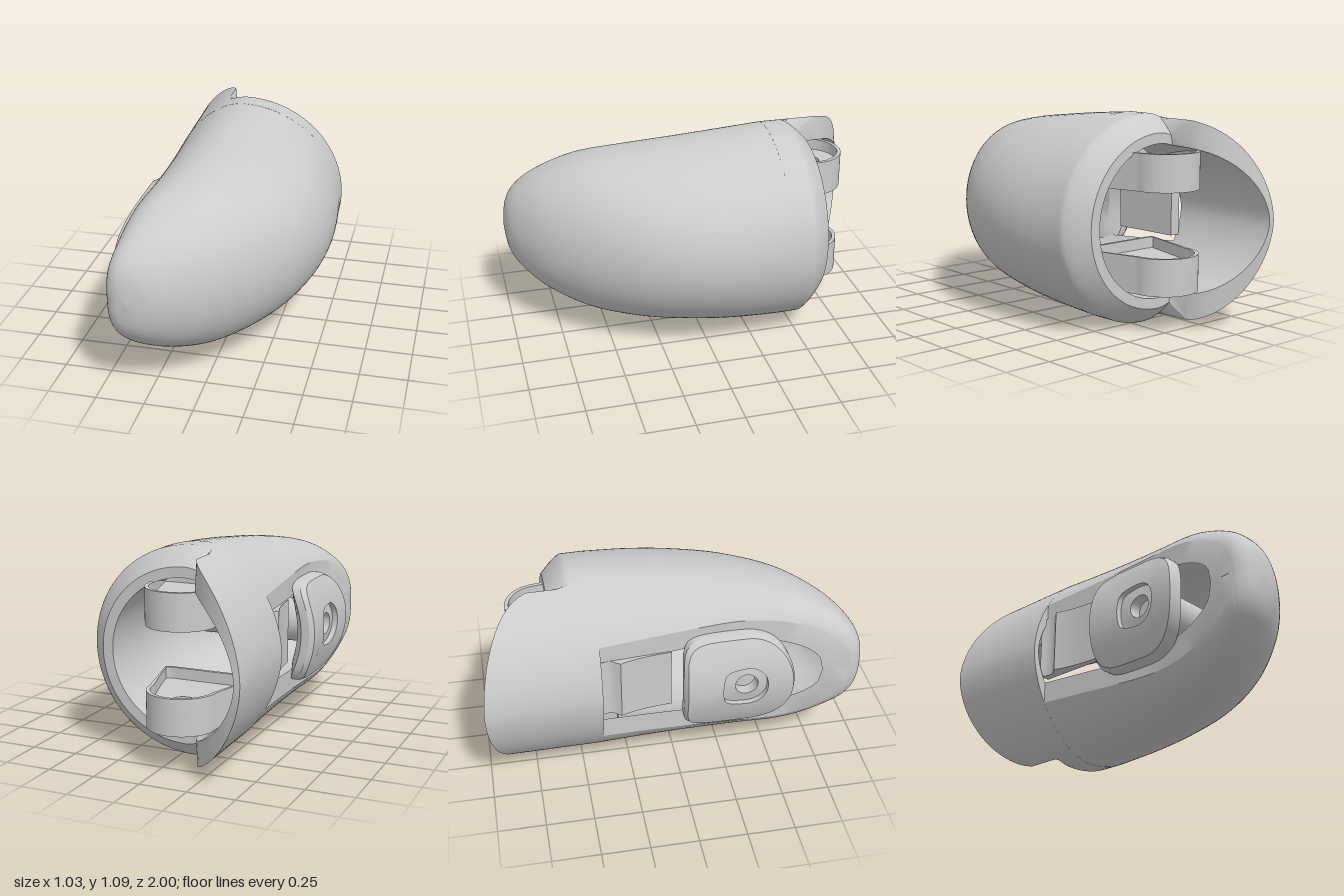
import * as THREE from 'three';
import { mergeGeometries, toCreasedNormals } from 'three/addons/utils/BufferGeometryUtils.js';

const MID = 0.545; // height of the horizontal symmetry plane
const material = new THREE.MeshStandardMaterial({ color: 0xcccccc, side: THREE.DoubleSide });
const { lerp, clamp } = THREE.MathUtils;

// Grid surface through the points f(i, j)
function sheet(f, nu, nv) {
  const pos = [], index = [];
  for (let j = 0; j <= nv; j++) for (let i = 0; i <= nu; i++) pos.push(...f(i, j));
  for (let j = 0; j < nv; j++) for (let i = 0; i < nu; i++) {
    const a = j * (nu + 1) + i, d = a + nu + 1;
    index.push(a, a + 1, d, a + 1, d + 1, d);
  }
  const g = new THREE.BufferGeometry();
  g.setAttribute('position', new THREE.Float32BufferAttribute(pos, 3));
  g.setIndex(index);
  return g;
}

function add(parent, name, geometry) {
  const mesh = new THREE.Mesh(toCreasedNormals(geometry, 0.5), material);
  mesh.name = name;
  parent.add(mesh);
}

// Stations along the shell: z, left x, ridge x, right x, half height,
// x of the window edge, squareness of the left side
const STATIONS = [
  [-0.41, -0.495, -0.07, 0.495, 0.545, -0.41, 1.78],
  [-0.15, -0.48, -0.07, 0.51, 0.525, -0.39, 1.85],
  [0.1, -0.465, -0.08, 0.485, 0.5, -0.375, 2],
  [0.35, -0.45, -0.1, 0.405, 0.47, -0.37, 2.3],
  [0.6, -0.445, -0.15, 0.255, 0.42, -0.395, 2.8],
  [0.8, -0.44, -0.22, 0.08, 0.328, -0.42, 3.1],
  [0.92, -0.44, -0.28, -0.08, 0.232, -0.44, 3],
  [0.98, -0.4, -0.31, -0.2, 0.135, -0.41, 2.6],
  [1, -0.32, -0.32, -0.32, 0, -0.33, 2.4],
];
const BACK = [-1, -0.52, -0.07, 0.465, 0.54, -0.52, 1.78];

// Catmull-Rom blend of the stations
function station(t) {
  const last = STATIONS.length - 1, k = Math.min(Math.floor(t), last - 1), f = t - k;
  const [a, b, c, d] = [k - 1, k, k + 1, k + 2].map((n) => STATIONS[clamp(n, 0, last)]);
  return b.map((p, n) => {
    const m0 = (c[n] - a[n]) / 2, m1 = (d[n] - p) / 2, e = c[n] - p;
    return p + f * (m0 + f * (3 * e - 2 * m0 - m1 + f * (m0 + m1 - 2 * e)));
  });
}

// Section reduced to the inner face of the shell
const inset = ([z, xl, p, xr, h, cut, n]) =>
  [z > 0 ? z * 0.92 : z, p - (p - xl) * 0.93, p, p + (xr - p) * 0.73, h * 0.73, cut, n];

// Round on the +x side, superellipse on the -x side
function point([z, xl, p, xr, h, , left], angle, scale = 1) {
  const c = Math.cos(angle), n = c > 0 ? 2 : left;
  const s = Math.sign(Math.sin(angle)) * Math.max(0, 1 - Math.abs(c) ** n) ** (1 / n);
  return [p + (c > 0 ? xr - p : p - xl) * c * scale, MID + h * s * scale, z];
}

// Front of the shell, with a window on the -x side
function frontShell() {
  const m = 80, rows = 64;
  return sheet((i, j) => {
    i %= 2 * m + 2;
    const outer = i <= m;
    let s = station((j / rows) * (STATIONS.length - 1));
    if (!outer) s = inset(s);
    const [, xl, p, , , cut] = s;
    const limit = Math.acos(clamp((cut - p) / Math.max(p - xl, 1e-4), -1, 1));
    const u = outer ? i / m : 1 - (i - m - 1) / m;
    return point(s, lerp(-limit, limit, u));
  }, 2 * m + 2, rows);
}

// Back ring: chamfered rim on the +x side, long tapering flap on the -x side
function backShell() {
  const n = 144, m = 14;
  return sheet((i, j) => {
    j %= 2 * m + 2;
    const outer = j <= m, angle = (-2 * Math.PI * i) / n, c = Math.cos(angle), flap = c < -0.24;
    const end = flap ? -0.68 - 0.32 * Math.sqrt((-c - 0.24) / 0.76) : -0.63;
    const v = outer ? j / m : 1 - (j - m - 1) / m;
    const z = v < 0.5 ? lerp(-0.4, -0.52, v * 2) : lerp(-0.52, end, v * 2 - 1);
    const f = (-0.4 - z) / 0.6;
    const s = STATIONS[0].map((a, k) => (k ? lerp(a, BACK[k], f) : z));
    const chamfer = flap ? 0 : 0.17 * clamp((-0.52 - z) / 0.11, 0, 1) ** 1.3;
    return outer ? point(s, angle, 1 - chamfer) : point(inset(s), angle);
  }, n, 2 * m + 2);
}

// Dished D-shaped plate with a counterbored hole
function clampPlate() {
  const n = 80, cz = 0.35;
  // profile: fraction of the way from hole to outline, depth behind the front face
  const profile = [[0, 0.12], [0, 0.04], [0.25, 0.04], [0.25, 0.01], [0.6, 0], [0.94, 0],
    [1, 0.025], [1, 0.07], [0.7, 0.12], [0, 0.12]];
  return sheet((i, j) => {
    const a = (-2 * Math.PI * i) / n, c = Math.cos(a), s = Math.sin(a);
    const [rz, e] = c > 0 ? [0.25, 2.2] : [0.33, 6];
    const R = (Math.abs(c / rz) ** e + Math.abs(s / 0.28) ** e) ** (-1 / e);
    const [f, depth] = profile[j], r = lerp(0.06, R, f);
    const y = r * s;
    return [-0.515 + depth + 1.1 * y * y, MID + y, cz + r * c];
  }, n, profile.length - 1);
}

// Hinge lug: round end, flared root, recessed top and a pin hole
function hingeLug(y, floor, height) {
  const n = 96, hole = 0.065, r = 0.18, flare = 0.25, root = 0.36;
  // profile: inset from the outline (null for the pin hole), height
  const profile = [[null, 0], [0, 0], [0, height], [0.02, height], [0.02, floor], [null, floor], [null, 0]];
  return sheet((i, j) => {
    const a = (-2 * Math.PI * i) / n, c = Math.cos(a), s = Math.sin(a);
    const side = Math.abs(c) - flare * s;
    const R = s <= 0 ? r : Math.min(root / s, side > 0 ? r / side : Infinity);
    const [cut, h] = profile[j], d = cut === null ? hole : R - cut;
    return [-0.07 + d * c, y + h, -0.66 + d * s];
  }, n, profile.length - 1);
}

export function createModel() {
  const model = new THREE.Group();
  model.name = 'hollowShell';
  add(model, 'shell', mergeGeometries([frontShell(), backShell()]));

  add(model, 'upperHingeLug', hingeLug(0.72, 0.13, 0.19));
  add(model, 'lowerHingeLug', hingeLug(0.2, 0.13, 0.19));

  add(model, 'clampPlate', clampPlate());
  // Post that carries the plate from the inner wall
  add(model, 'platePost', new THREE.CylinderGeometry(0.12, 0.12, 0.68, 32)
    .rotateZ(Math.PI / 2).translate(-0.07, MID, 0.37));

  // Curved tab just inside the window, in plan with -z up
  const tab = new THREE.Shape();
  tab.moveTo(-0.43, 0.42);
  tab.quadraticCurveTo(-0.4, 0.38, -0.41, 0.34);
  tab.lineTo(-0.44, 0.3);
  tab.quadraticCurveTo(-0.4, 0.2, -0.39, 0.03);
  tab.lineTo(-0.36, 0.03);
  tab.lineTo(-0.37, 0.42);
  tab.closePath();
  add(model, 'windowTab', new THREE.ExtrudeGeometry(tab, { depth: 0.34, bevelEnabled: false })
    .rotateX(-Math.PI / 2).translate(0, MID - 0.14, 0));
  return model;
}
